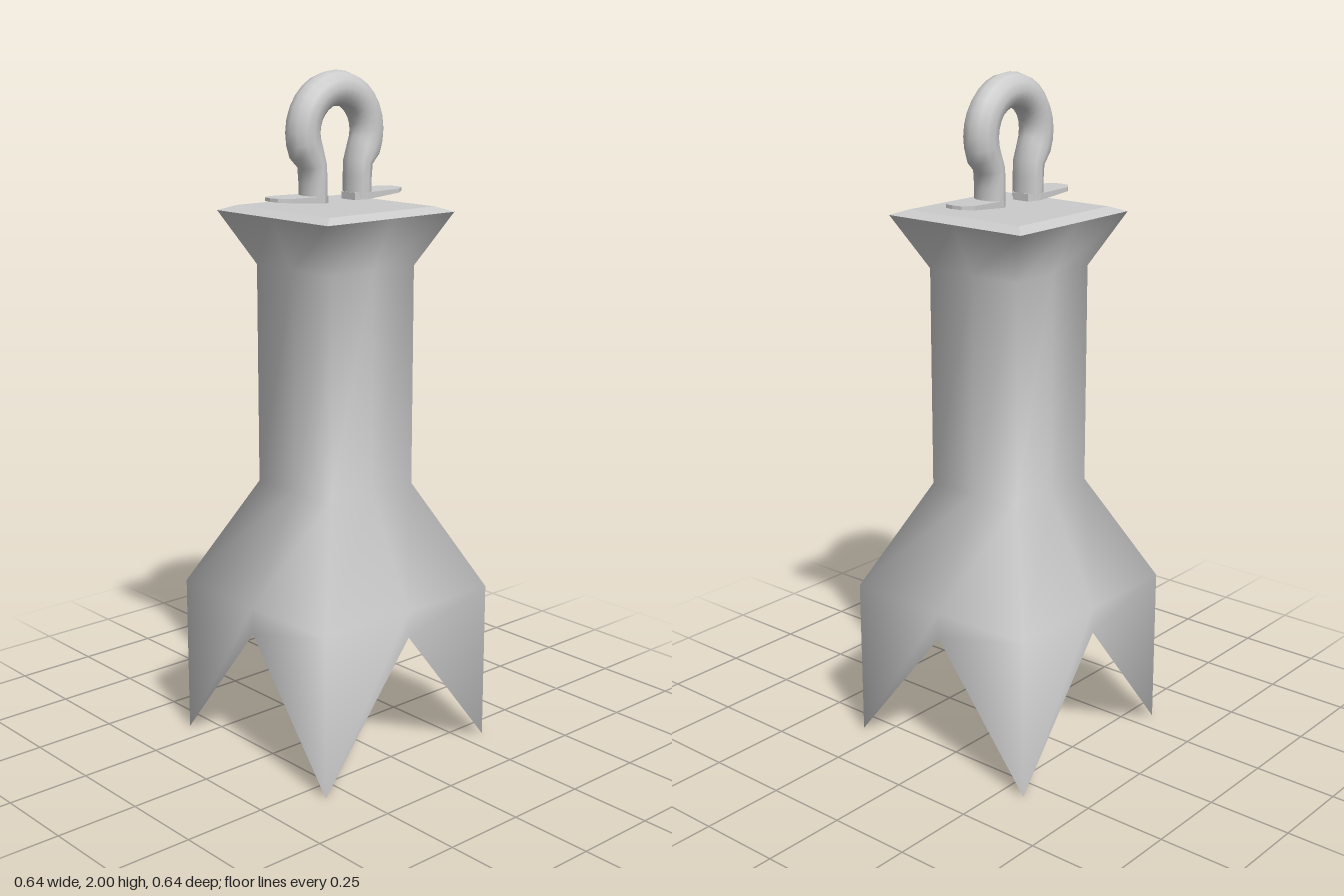
import * as THREE from 'three';

const material = new THREE.MeshStandardMaterial({ color: 0xcccccc });

// Corner and mid-side directions of a square, walked anticlockwise from the front
const SQUARE = [[0, 1], [1, 1], [1, 0], [1, -1], [0, -1], [-1, -1], [-1, 0], [-1, 1]];
const squareRing = (half, yMid, yCorner = yMid) =>
  SQUARE.map(([x, z], i) => new THREE.Vector3(x * half, i % 2 ? yCorner : yMid, z * half));

function named(name, geometry) {
  const mesh = new THREE.Mesh(geometry, material);
  mesh.name = name;
  return mesh;
}

// Smooth skin over closed rings of equal point count
function skin(rings) {
  const n = rings[0].length, index = [];
  for (let i = 0; i < rings.length - 1; i++) {
    for (let j = 0; j < n; j++) {
      const a = i * n + j, b = i * n + (j + 1) % n;
      index.push(a, b, b + n, a, b + n, a + n);
    }
  }
  const g = new THREE.BufferGeometry().setFromPoints(rings.flat());
  g.setIndex(index);
  g.computeVertexNormals();
  return g;
}

// Flat facets from triangles of points
function facets(points) {
  const g = new THREE.BufferGeometry().setFromPoints(points);
  g.computeVertexNormals();
  return g;
}

const quad = (a, b, c, d) => [a, b, c, a, c, d];

// Square column with flared head and four pointed fangs
function createBody() {
  const body = new THREE.Group();
  body.name = 'body';
  const hem = squareRing(0.32, 0.4, 0);
  body.add(named('column', skin([
    hem,
    squareRing(0.32, 0.48),
    squareRing(0.16, 0.8),
    squareRing(0.16, 1.45),
    squareRing(0.24, 1.605),
  ])));

  // Shallow bevelled lid
  const rim = squareRing(0.24, 1.605), lid = squareRing(0.2, 1.62);
  const top = quad(lid[1], lid[3], lid[5], lid[7]);
  for (let i = 1; i < 8; i += 2) {
    const k = (i + 2) % 8;
    top.push(...quad(rim[i], rim[k], lid[k], lid[i]));
  }
  body.add(named('lid', facets(top)));

  // Flat underside and the inner face of each fang
  const under = quad(hem[0], hem[6], hem[4], hem[2]);
  for (let i = 1; i < 8; i += 2) under.push(hem[i - 1], hem[(i + 1) % 8], hem[i]);
  body.add(named('underside', facets(under)));
  return body;
}

// Horseshoe loop: sections run from one foot over the top to the other
function createLoop() {
  const sides = 12, halfX = 0.05, centreY = 1.83;
  // Each section: outer z, outer y, inner z, inner y
  const leg = [
    [0.118, 1.655, 0.05, 1.637],
    [0.118, 1.69, 0.05, 1.7],
    [0.122, 1.73, 0.052, 1.75],
  ];
  const sections = [...leg];
  const steps = 18;
  for (let i = 0; i <= steps; i++) {
    const a = THREE.MathUtils.degToRad(-25 + 230 * i / steps);
    const c = Math.cos(a), s = Math.sin(a);
    sections.push([0.17 * c, centreY + 0.17 * s, 0.07 * c, centreY + 0.07 * s]);
  }
  for (const [oz, oy, iz, iy] of [...leg].reverse()) sections.push([-oz, oy, -iz, iy]);

  return named('loop', skin(sections.map(([oz, oy, iz, iy]) =>
    Array.from({ length: sides }, (_, j) => {
      const t = j / sides * Math.PI * 2, c = Math.cos(t) / 2;
      return new THREE.Vector3(halfX * Math.sin(t), (oy + iy) / 2 + (oy - iy) * c, (oz + iz) / 2 + (oz - iz) * c);
    }))));
}

// Thin rounded foot turned outward, tapering to its tip
function createFoot(name, turn) {
  const shape = new THREE.Shape();
  shape.moveTo(-0.028, -0.05);
  shape.lineTo(0.028, -0.05);
  shape.lineTo(0.05, -0.08);
  shape.lineTo(0.05, -0.205);
  shape.lineTo(0.028, -0.235);
  shape.lineTo(0, -0.24);
  shape.lineTo(-0.028, -0.235);
  shape.lineTo(-0.05, -0.205);
  shape.lineTo(-0.05, -0.08);
  const g = new THREE.ExtrudeGeometry(shape, { depth: 0.02, bevelEnabled: false });
  g.rotateX(-Math.PI / 2);
  const p = g.attributes.position;
  for (let i = 0; i < p.count; i++) {
    const out = (p.getZ(i) - 0.05) / 0.19;
    // Underside rises towards the tip
    p.setY(i, p.getY(i) > 0.01 ? 1.655 + 0.004 * out : 1.634 + 0.015 * out);
  }
  g.computeVertexNormals();
  const foot = named(name, g);
  foot.rotation.y = turn;
  return foot;
}

export function createModel() {
  const model = new THREE.Group();
  model.name = 'pendant';
  const hanger = new THREE.Group();
  hanger.name = 'hanger';
  hanger.add(createLoop(), createFoot('frontFoot', 0), createFoot('backFoot', Math.PI));
  model.add(createBody(), hanger);
  return model;
}
